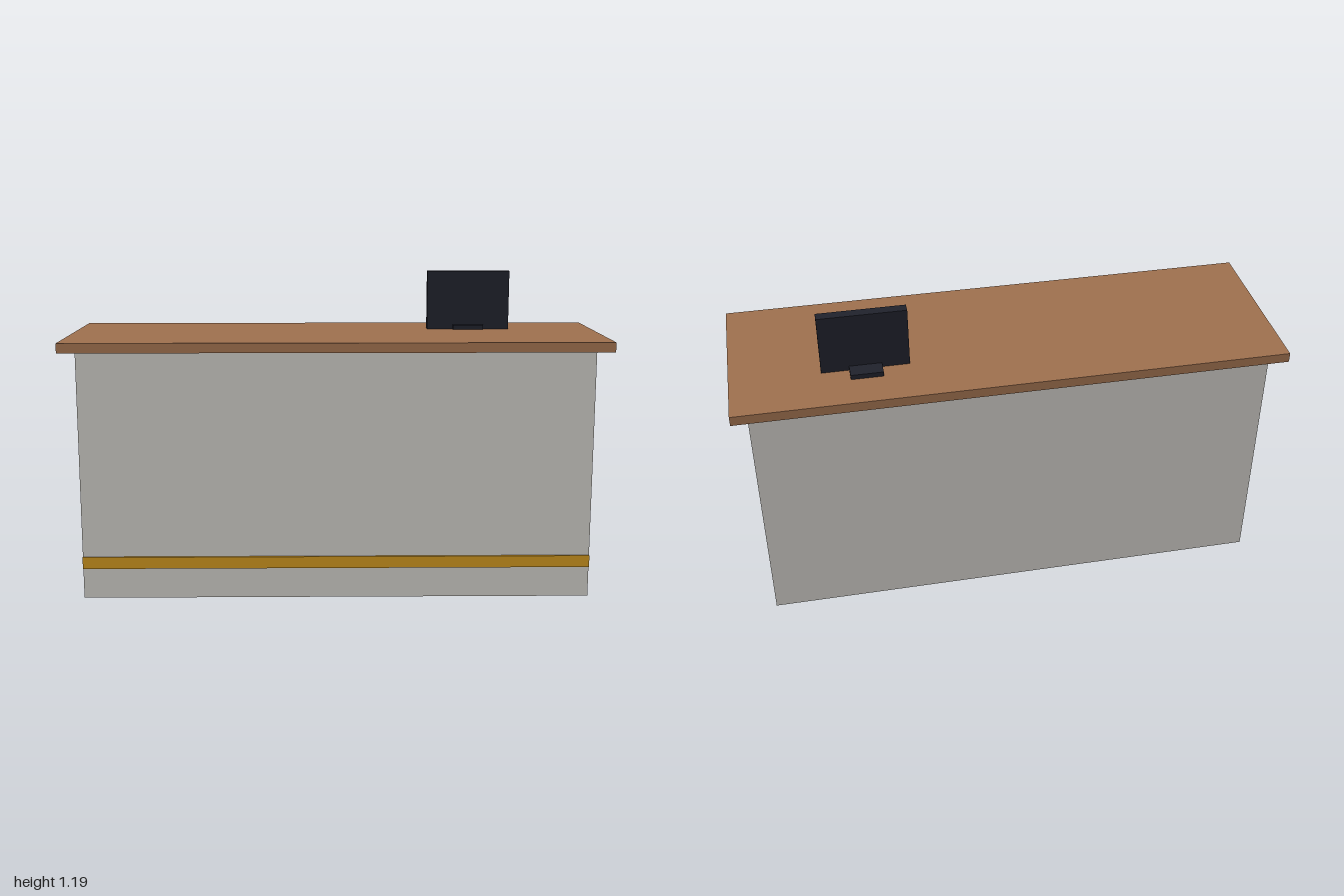
import * as THREE from 'three';

const paint = (name, color) => {
  const material = new THREE.MeshStandardMaterial({ color });
  material.name = name;
  return material;
};

export function createModel() {
  const grey = paint('pale grey', 0xcac8c3);
  const wood = paint('brown wood', 0xa0714f);
  const gold = paint('gold', 0xc9921e);
  const dark = paint('dark charcoal', 0x20222c);

  const model = new THREE.Group();
  model.name = 'counter';

  // Box given by its lower and upper bounds on each axis
  const box = (name, material, [x0, x1], [y0, y1], [z0, z1], parent = model) => {
    const mesh = new THREE.Mesh(new THREE.BoxGeometry(x1 - x0, y1 - y0, z1 - z0), material);
    mesh.position.set((x0 + x1) / 2, (y0 + y1) / 2, (z0 + z1) / 2);
    mesh.name = name;
    parent.add(mesh);
  };

  // Counter body, with the dark plinth just showing underneath
  box('body', grey, [-0.943, 0.943], [0.002, 0.929], [-0.283, 0.283]);
  box('plinth', dark, [-0.933, 0.933], [0, 0.09], [-0.273, 0.273]);
  box('countertop', wood, [-1, 1], [0.929, 0.965], [-0.33, 0.33]);
  box('trimStrip', gold, [-0.943, 0.943], [0.117, 0.161], [0.283, 0.292]);

  // Monitor on its foot
  const monitor = new THREE.Group();
  monitor.name = 'monitor';
  box('screen', dark, [0.358, 0.675], [0.966, 1.191], [-0.132, -0.095], monitor);
  box('foot', dark, [0.458, 0.575], [0.965, 0.983], [-0.19, -0.076], monitor);
  model.add(monitor);

  return model;
}
